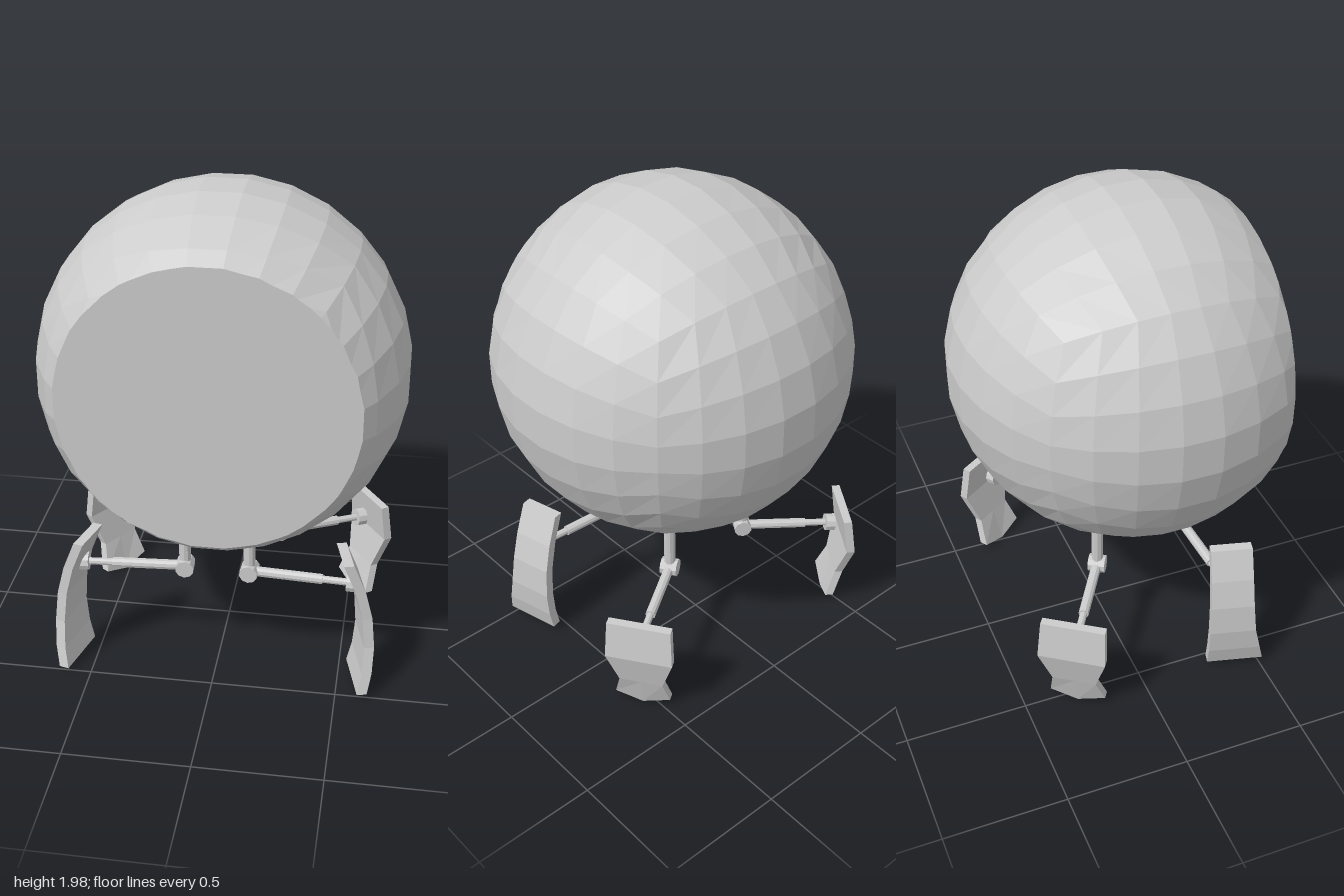
import * as THREE from 'three';

const mat = new THREE.MeshStandardMaterial({ color: 0xcccccc, flatShading: true });
const V = (x, y, z) => new THREE.Vector3(x, y, z);

function addMesh(parent, name, geometry) {
  const mesh = new THREE.Mesh(geometry, mat);
  mesh.name = name;
  parent.add(mesh);
  return mesh;
}

function fromPoints(points) {
  const g = new THREE.BufferGeometry().setFromPoints(points);
  g.computeVertexNormals();
  return g;
}

// Cylinder running from a to b
function rod(parent, name, a, b, r, sides = 10) {
  const d = b.clone().sub(a);
  const mesh = addMesh(parent, name, new THREE.CylinderGeometry(r, r, d.length(), sides));
  mesh.position.copy(a).add(b).multiplyScalar(0.5);
  mesh.quaternion.setFromUnitVectors(V(0, 1, 0), d.normalize());
  return mesh;
}

// Keep the part of a polygon where dist >= 0, noting the points on the cut
function clip(poly, dist, cut) {
  const out = [];
  poly.forEach((p, i) => {
    const q = poly[(i + 1) % poly.length], a = dist(p), b = dist(q);
    if (a >= 0) out.push(p);
    if ((a >= 0) !== (b >= 0)) {
      const m = p.clone().lerp(q, a / (a - b));
      out.push(m);
      cut.push(m);
    }
  });
  return out;
}

// Faceted ball from a rounded-out cube, sliced flat at the front and open at the bottom
function buildBody(parent) {
  const R = 0.723, C = V(0, 1.28, 0.14), frontZ = 0.58, floorY = 0.645;
  const box = new THREE.BoxGeometry(2, 2, 2, 7, 7, 7).toNonIndexed();
  const pos = box.attributes.position, bend = (c) => Math.tan(c * Math.PI / 4);
  const tris = [], frontCut = [], floorCut = [];
  for (let i = 0; i < pos.count; i += 3) {
    let poly = [0, 1, 2].map((k) =>
      V(bend(pos.getX(i + k)), bend(pos.getY(i + k)), bend(pos.getZ(i + k))).setLength(R).add(C));
    poly = clip(poly, (p) => frontZ - p.z, frontCut);
    poly = clip(poly, (p) => p.y - floorY, floorCut);
    for (let k = 1; k + 1 < poly.length; k++) tris.push(poly[0], poly[k], poly[k + 1]);
  }
  addMesh(parent, 'sphereShell', fromPoints(tris));

  // Flat front disc
  const disc = [], angF = (p) => Math.atan2(p.y - C.y, p.x);
  frontCut.sort((a, b) => angF(a) - angF(b)).forEach((p, i) =>
    disc.push(V(0, C.y, frontZ), p, frontCut[(i + 1) % frontCut.length]));
  addMesh(parent, 'frontDisc', fromPoints(disc));

  // Shallow recess in the underside: wall and ceiling
  const recess = [], up = V(0, 0.05, 0), angB = (p) => Math.atan2(p.z - C.z, p.x);
  floorCut.sort((a, b) => angB(a) - angB(b)).forEach((p, i) => {
    const q = floorCut[(i + 1) % floorCut.length];
    const p2 = p.clone().add(up), q2 = q.clone().add(up);
    recess.push(p, p2, q, q, p2, q2);
    recess.push(V(0, floorY + 0.05, C.z), p2, q2);
  });
  const under = addMesh(parent, 'undersideRecess', fromPoints(recess));
  under.material = mat.clone();
  under.material.side = THREE.DoubleSide;
}

// Bent slab; rows run top to bottom: [y, outward offset, rear edge, front edge, y at the middle]
function plate(parent, name, side, { centre, yaw, thick, rows }) {
  const n = rows.length - 1;
  const g = new THREE.BoxGeometry(1, 1, 1, 1, n, 2), p = g.attributes.position;
  const c = Math.cos(yaw), s = Math.sin(yaw);
  for (let i = 0; i < p.count; i++) {
    const [y, off, u0, u1, yMid = y] = rows[Math.round((0.5 - p.getY(i)) * n)];
    const t = off + p.getX(i) * side * thick;
    const u = u0 + (u1 - u0) * (p.getZ(i) + 0.5);
    const yy = Math.abs(p.getZ(i)) < 0.1 ? yMid : y;
    p.setXYZ(i, side * (centre[0] + c * t + s * u), yy, centre[1] - s * t + c * u);
  }
  g.computeVertexNormals();
  addMesh(parent, name, g);
}

const LEGS = {
  front: {
    joint: [0.13, 0.46, 0.335], hub: [0.55, 0.455, 0.355],
    foot: {
      centre: [0.58, 0.37], yaw: 0.25, thick: 0.04,
      rows: [
        [0.605, -0.07, -0.085, 0.085], [0.48, -0.02, -0.085, 0.088], [0.36, 0.01, -0.085, 0.093],
        [0.23, 0.02, -0.085, 0.105], [0.12, 0.01, -0.085, 0.13], [0.035, -0.01, -0.085, 0.15],
      ],
    },
  },
  back: {
    joint: [0.205, 0.405, -0.07], hub: [0.54, 0.37, -0.285],
    foot: {
      centre: [0.575, -0.315], yaw: 0.6, thick: 0.035,
      rows: [
        [0.47, -0.005, -0.13, 0.13], [0.31, 0.015, -0.14, 0.135], [0.16, -0.02, -0.09, 0.09],
        [0.045, -0.06, -0.11, 0.12, 0.01],
      ],
    },
  },
};

// Strut, knuckle, telescoping arm, hub and foot plate
function buildLeg(parent, name, side, { joint, hub, foot }) {
  const leg = new THREE.Group();
  leg.name = name;
  parent.add(leg);
  const j = V(side * joint[0], joint[1], joint[2]);
  const h = V(side * hub[0], hub[1], hub[2]);
  const along = (t) => j.clone().lerp(h, t);
  const across = V(h.z - j.z, 0, j.x - h.x).setLength(0.035);
  rod(leg, 'strut', j, V(j.x, 0.7, j.z), 0.024);
  rod(leg, 'knuckle', j.clone().sub(across), j.clone().add(across), 0.037);
  rod(leg, 'armSleeve', j, along(0.7), 0.021);
  rod(leg, 'armRod', along(0.65), h, 0.015);
  rod(leg, 'footHub', along(0.93), along(1.03), 0.038);
  plate(leg, 'footPlate', side, foot);
}

export function createModel() {
  const model = new THREE.Group();
  model.name = 'walkingSphere';
  buildBody(model);
  for (const side of [1, -1]) {
    const s = side > 0 ? 'Left' : 'Right';
    buildLeg(model, 'front' + s + 'Leg', side, LEGS.front);
    buildLeg(model, 'back' + s + 'Leg', side, LEGS.back);
  }
  return model;
}
